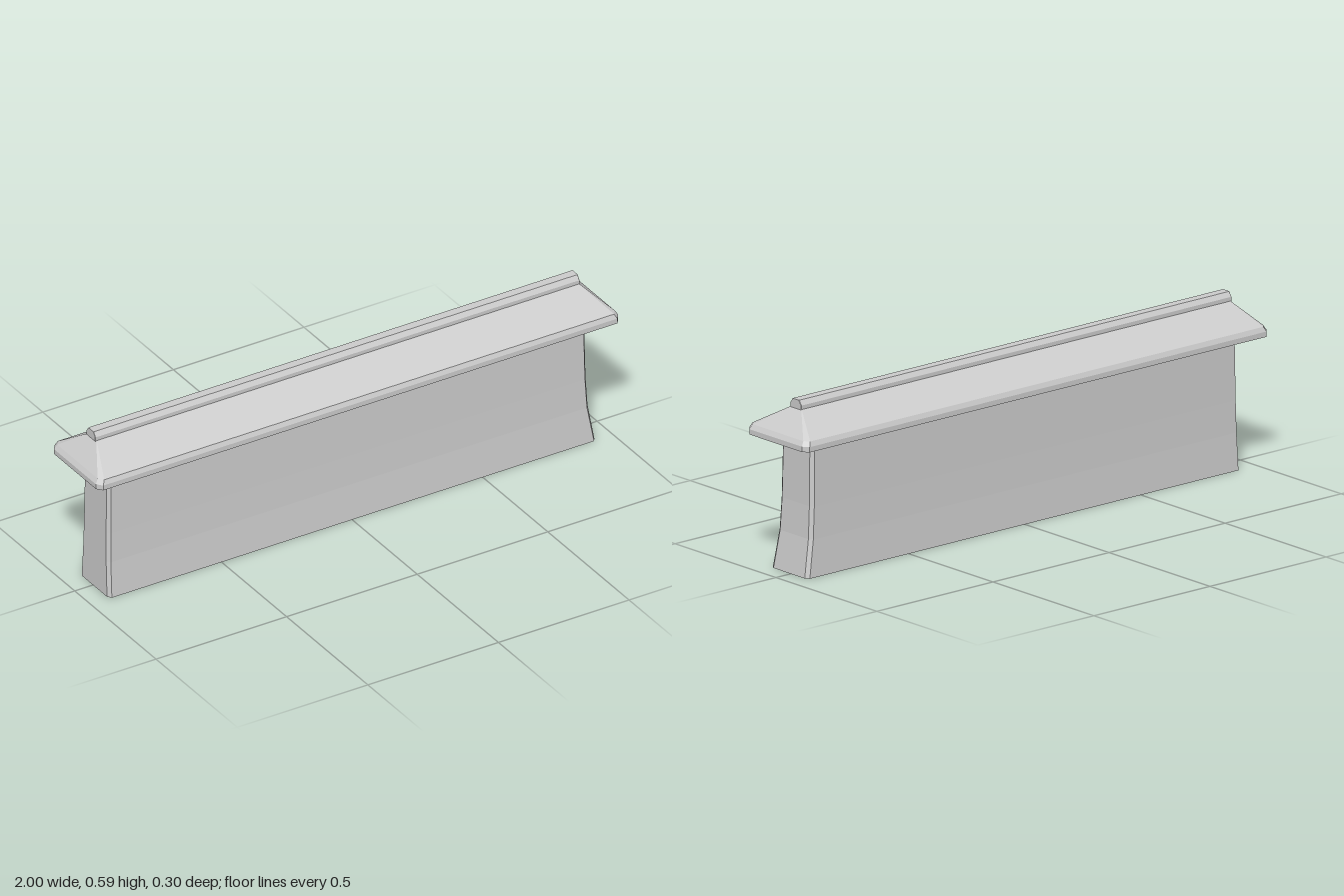
import * as THREE from 'three';

// Chamfered rectangle seen from above, listed from +x towards +z.
function ring([y, x0, x1, z0, z1, cx, cz]) {
  return [
    [x1, z0 + cz], [x1, z1 - cz], [x1 - cx, z1], [x0 + cx, z1],
    [x0, z1 - cz], [x0, z0 + cz], [x0 + cx, z0], [x1 - cx, z0],
  ].map(([x, z]) => [x, y, z]);
}

// Stacks rings into a flat-faced solid, with optional end caps.
function loft(sections, capBottom, capTop) {
  const rings = sections.map(ring);
  const pos = [];
  const tri = (...p) => p.forEach((v) => pos.push(...v));
  for (let k = 0; k < rings.length - 1; k++) {
    const lo = rings[k], hi = rings[k + 1];
    for (let i = 0; i < 8; i++) {
      const j = (i + 1) % 8;
      tri(lo[i], hi[i], lo[j]);
      tri(lo[j], hi[i], hi[j]);
    }
  }
  const bottom = rings[0], top = rings[rings.length - 1];
  for (let i = 1; i < 7; i++) {
    if (capBottom) tri(bottom[0], bottom[i], bottom[i + 1]);
    if (capTop) tri(top[0], top[i + 1], top[i]);
  }
  const g = new THREE.BufferGeometry();
  g.setAttribute('position', new THREE.Float32BufferAttribute(pos, 3));
  g.computeVertexNormals();
  return g;
}

export function createModel() {
  const group = new THREE.Group();
  const stone = new THREE.MeshStandardMaterial({ color: 0xcccccc, side: THREE.DoubleSide });
  stone.name = 'pale grey stone';
  const add = (name, geometry) => {
    const mesh = new THREE.Mesh(geometry, stone);
    mesh.name = name;
    group.add(mesh);
  };

  // Sections: y, x0, x1, z0, z1, corner chamfer along x and z.
  // Hollow wall, flared at the foot and open below
  add('wall', loft([
    [0.002, -0.93, 0.936, -0.083, 0.1, 0.01, 0.014],
    [0.13, -0.927, 0.916, -0.077, 0.089, 0.01, 0.013],
    [0.24, -0.925, 0.91, -0.075, 0.086, 0.01, 0.013],
    [0.46, -0.922, 0.906, -0.073, 0.083, 0.01, 0.013],
  ], false, false));

  // Hipped coping with a rounded eave
  add('copingRoof', loft([
    [0.458, -1, 1, -0.149, 0.15, 0.016, 0.02],
    [0.476, -1, 1, -0.149, 0.15, 0.016, 0.02],
    [0.492, -0.99, 0.99, -0.142, 0.143, 0.014, 0.018],
    [0.564, -0.93, 0.917, -0.031, 0.021, 0.001, 0.001],
  ], true, true));

  // Ridge rail with bevelled long edges
  add('ridgeRail', loft([
    [0.562, -0.935, 0.919, -0.032, 0.022, 0.001, 0.001],
    [0.577, -0.935, 0.919, -0.032, 0.022, 0.001, 0.001],
    [0.593, -0.935, 0.919, -0.021, 0.011, 0.001, 0.001],
  ], true, true));

  return group;
}
